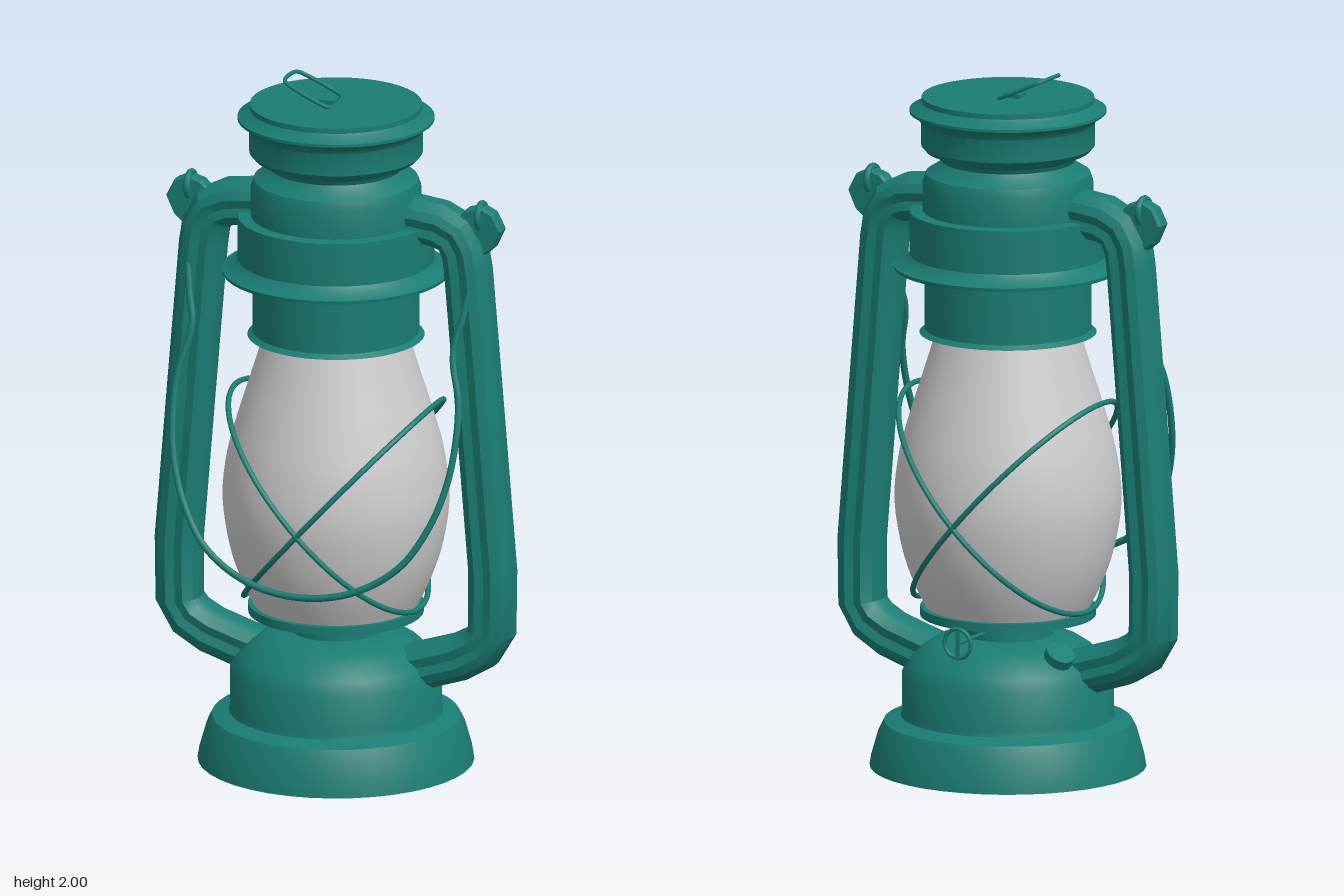
import * as THREE from 'three';
import { toCreasedNormals } from 'three/addons/utils/BufferGeometryUtils.js';

const paint = new THREE.MeshStandardMaterial({ color: 0x1a7d73, side: THREE.DoubleSide });
const clear = new THREE.MeshStandardMaterial({ color: 0xcccccc, side: THREE.DoubleSide });
const v3 = (p) => new THREE.Vector3(...p);

function add(parent, name, geometry, material = paint) {
  const mesh = new THREE.Mesh(geometry, material);
  mesh.name = name;
  parent.add(mesh);
  return mesh;
}

// Turned part from [radius, height] pairs, listed bottom to top
function turned(profile, segments = 40) {
  const g = new THREE.LatheGeometry(profile.map(([r, y]) => new THREE.Vector2(r, y)), segments);
  return toCreasedNormals(g, 0.6);
}

// Round wire through points
function wire(points, radius, closed = false, steps = 64) {
  const curve = new THREE.CatmullRomCurve3(points, closed, 'centripetal');
  return new THREE.TubeGeometry(curve, steps, radius, 8, closed);
}

// Sweep a closed (outward, z) section along a path in the xy plane
function sweep(path, section) {
  const pos = [], index = [], m = section.length;
  path.forEach(([x, y], i) => {
    const a = path[Math.max(i - 1, 0)], b = path[Math.min(i + 1, path.length - 1)];
    const t = new THREE.Vector2(b[0] - a[0], b[1] - a[1]).normalize();
    section.forEach(([n, z]) => pos.push(x + t.y * n, y - t.x * n, z));
    if (i === path.length - 1) return;
    for (let j = 0; j < m; j++) {
      const p = i * m + j, q = i * m + (j + 1) % m;
      index.push(p, p + m, q, q, p + m, q + m);
    }
  });
  const g = new THREE.BufferGeometry();
  g.setAttribute('position', new THREE.Float32BufferAttribute(pos, 3));
  g.setIndex(index);
  return toCreasedNormals(g, 0.5);
}

export function createModel() {
  const lantern = new THREE.Group();
  lantern.name = 'lantern';

  // Fuel tank with recessed underside, neck and burner plate
  add(lantern, 'fuelTank', turned([
    [0, 0.05], [0.34, 0.05], [0.365, 0], [0.39, 0], [0.385, 0.03], [0.365, 0.1], [0.35, 0.13],
    [0.325, 0.138], [0.302, 0.145], [0.298, 0.16], [0.298, 0.27], [0.275, 0.305], [0.24, 0.34],
    [0.205, 0.363], [0.16, 0.375], [0.125, 0.38], [0.123, 0.435],
  ]));
  add(lantern, 'burnerPlate', turned([
    [0, 0.435], [0.248, 0.435], [0.248, 0.46], [0, 0.46],
  ]));

  // Glass globe
  const globe = new THREE.SplineCurve([
    [0.232, 0.46], [0.27, 0.54], [0.302, 0.64], [0.32, 0.77], [0.307, 0.9],
    [0.275, 1.02], [0.237, 1.14], [0.2, 1.26],
  ].map(([x, y]) => new THREE.Vector2(x, y)));
  add(lantern, 'glassGlobe', new THREE.LatheGeometry(globe.getPoints(24), 40), clear);

  // Chimney: collar, skirt, hood and flared cap
  add(lantern, 'chimney', turned([
    [0.19, 1.25], [0.25, 1.25], [0.235, 1.262], [0.235, 1.435], [0.32, 1.435], [0.322, 1.445],
    [0.29, 1.458], [0.277, 1.475], [0.277, 1.6], [0.241, 1.602], [0.241, 1.685], [0.232, 1.71],
    [0.2, 1.73], [0.188, 1.745], [0.195, 1.758], [0.232, 1.775], [0.245, 1.79], [0.245, 1.855],
    [0.255, 1.87], [0.278, 1.885], [0.278, 1.893], [0.25, 1.908], [0.243, 1.915],
    [0.243, 1.93], [0, 1.93],
  ]));

  // Side frame: ribbed tubes, ears and bail eyes, one per side
  const path = [
    [0.15, 0.27], [0.29, 0.312], [0.375, 0.34], [0.435, 0.375], [0.467, 0.425], [0.469, 0.6],
    [0.432, 1.05], [0.396, 1.48], [0.387, 1.54], [0.362, 1.585], [0.315, 1.607], [0.25, 1.615], [0.18, 1.615],
  ];
  const section = [
    [0.067, -0.022], [0.067, 0.022], [0.045, 0.06], [0.02, 0.071], [-0.005, 0.062],
    [-0.03, 0.068], [-0.055, 0.045], [-0.065, 0.02],
    [-0.065, -0.02], [-0.055, -0.045], [-0.03, -0.068], [-0.005, -0.062], [0.02, -0.071], [0.045, -0.06],
  ];
  const ear = new THREE.Shape([
    [0.38, 1.56], [0.44, 1.53], [0.475, 1.56], [0.498, 1.61], [0.475, 1.655], [0.44, 1.672], [0.4, 1.66], [0.36, 1.62],
  ].map(([x, y]) => new THREE.Vector2(x, y)));
  for (const side of ['left', 'right']) {
    const frame = new THREE.Group();
    frame.name = side + 'Frame';
    frame.rotation.y = side === 'left' ? 0 : Math.PI;
    add(frame, 'frameTube', sweep(path, section));
    const plate = new THREE.ExtrudeGeometry(ear, {
      depth: 0.03, bevelEnabled: true, bevelSize: 0.005, bevelThickness: 0.012, bevelSegments: 1,
    });
    add(frame, 'bailEar', plate.translate(0, 0, -0.015));
    const eye = add(frame, 'bailEye', new THREE.TorusGeometry(0.035, 0.01, 8, 20));
    eye.position.set(0.436, 1.645, 0);
    eye.rotation.y = Math.PI / 2;
    lantern.add(frame);
  }

  // Carrying bail hanging forward; depth grows with the drop
  const half = [
    [0.437, 1.61], [0.432, 1.52], [0.41, 1.36], [0.392, 1.28], [0.396, 1.23], [0.42, 1.14],
    [0.424, 1.02], [0.408, 0.9], [0.365, 0.78], [0.29, 0.67], [0.16, 0.59],
  ].map(([x, y]) => [x, y, (1.65 - y) * 0.285]);
  const bail = [...half, [0, 0.562, 0.31], ...half.slice().reverse().map(([x, y, z]) => [-x, y, z])];
  add(lantern, 'bail', wire(bail.map(v3), 0.01, false, 120));

  // Crossed guard wires around the globe
  for (const s of [1, -1]) {
    const loop = [];
    for (let i = 0; i < 24; i++) {
      const a = i / 24 * Math.PI * 2;
      loop.push(v3([s * (0.023 + 0.275 * Math.cos(a)), 0.77 + 0.303 * Math.cos(a), 0.328 * Math.sin(a)]));
    }
    add(lantern, 'guardWire', wire(loop, 0.008, true, 72));
  }

  // Wick adjuster at the back
  const wick = new THREE.Group();
  wick.name = 'wickAdjuster';
  const rod = add(wick, 'wickRod', new THREE.CylinderGeometry(0.006, 0.006, 0.23, 8));
  rod.rotation.x = Math.PI / 2;
  rod.position.z = -0.215;
  add(wick, 'wickWheel', new THREE.TorusGeometry(0.042, 0.006, 8, 24)).position.z = -0.33;
  add(wick, 'wickSpoke', new THREE.BoxGeometry(0.012, 0.08, 0.006)).position.z = -0.33;
  wick.position.set(-0.02, 0.416, 0);
  lantern.add(wick);

  // Filler cap on the tank shoulder
  const cap = add(lantern, 'fillerCap', toCreasedNormals(new THREE.CylinderGeometry(0.042, 0.042, 0.05, 20), 0.6));
  cap.position.set(-0.21, 0.345, -0.09);
  cap.quaternion.setFromUnitVectors(v3([0, 1, 0]), v3([-0.5, 0.83, -0.22]).normalize());

  // Lifting ring and its tab on the cap
  const ring = [
    [0.0, -0.05], [0.0, 0.05], [-0.012, 0.061], [-0.125, 0.057], [-0.137, 0.045],
    [-0.137, -0.045], [-0.125, -0.057], [-0.012, -0.061],
  ].map(([x, z]) => v3([x, 1.932 - x * 0.46, z]));
  add(lantern, 'liftRing', wire(ring, 0.006, true, 64));
  add(lantern, 'liftTab', new THREE.BoxGeometry(0.05, 0.014, 0.044)).position.set(-0.022, 1.935, 0);

  return lantern;
}
